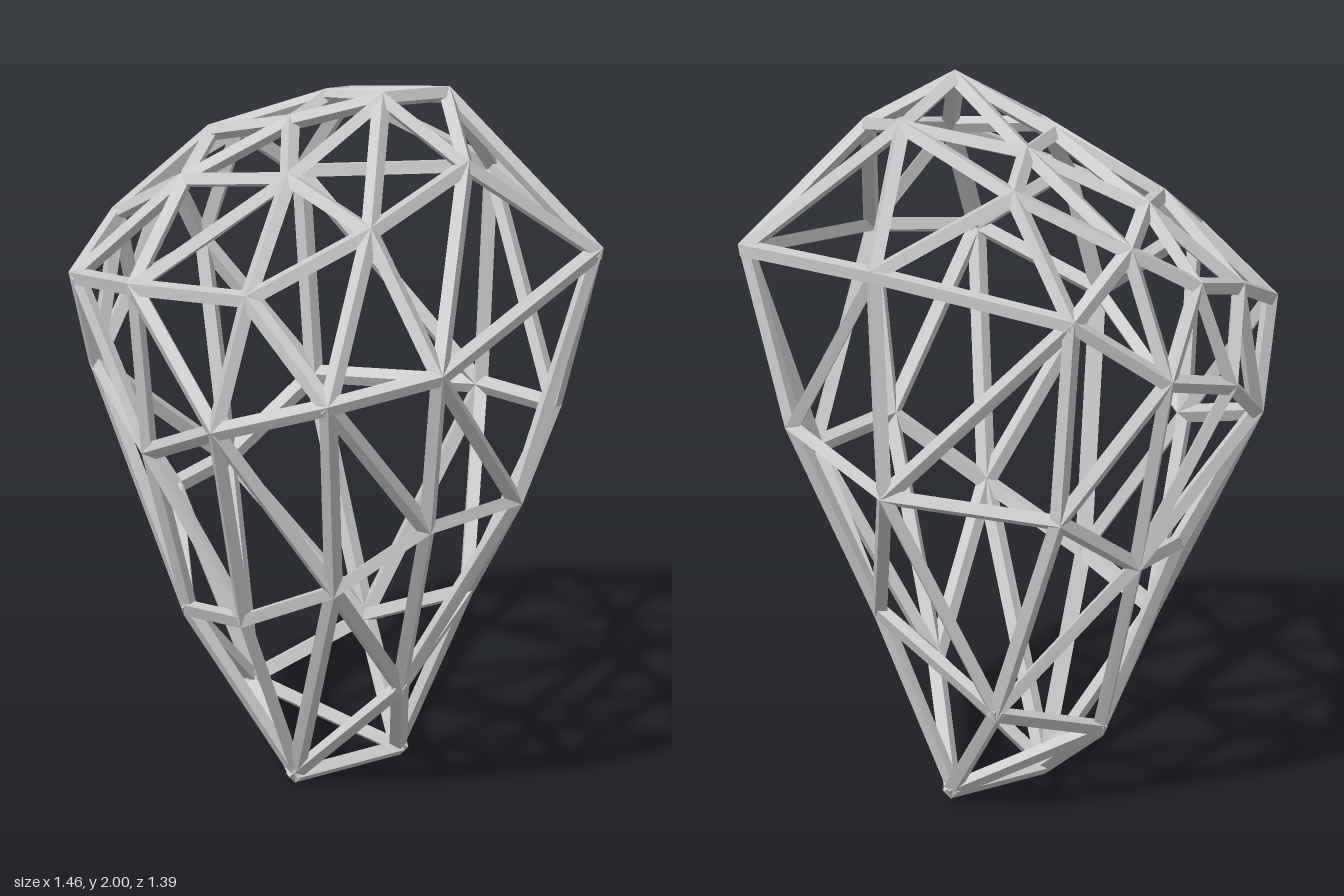
import * as THREE from 'three';

// Hub positions of the triangulated cage, from the crown down
const hubs = {
  17: [0.15, 2, 0], 10: [0.28, 1.94, -0.25], 9: [-0.07, 1.89, -0.3], 16: [-0.13, 1.88, -0.1],
  18: [0.4, 1.84, 0.05], 20: [-0.075, 1.815, 0.18], 22: [0.197, 1.74, 0.365], 6: [-0.05, 1.83, -0.5],
  8: [-0.405, 1.75, -0.33], 15: [-0.425, 1.7, -0.07], 5: [-0.375, 1.69, -0.545], 3: [0.335, 1.62, -0.59],
  4: [-0.56, 1.575, -0.48], 24: [-0.12, 1.57, 0.51], 13: [0.725, 1.54, -0.16], 1: [-0.23, 1.525, -0.695],
  11: [-0.66, 1.51, -0.285], 21: [-0.5, 1.495, 0.27], 14: [-0.73, 1.4, -0.05], 23: [0.43, 1.385, 0.525],
  2: [-0.49, 1.33, -0.605], 26: [0.15, 1.335, 0.695], 7: [-0.65, 1.26, -0.41], 25: [-0.2, 1.195, 0.58],
  31: [-0.7, 1.105, -0.17], 12: [0.59, 1.05, -0.25], 33: [0.305, 0.97, -0.6], 30: [-0.48, 0.975, 0.17],
  32: [-0.19, 0.935, -0.68], 19: [0.555, 0.88, 0.09], 29: [0.365, 0.88, 0.38], 38: [-0.39, 0.745, -0.475],
  42: [-0.49, 0.735, -0.24], 28: [0.1, 0.68, 0.395], 27: [-0.185, 0.53, 0.265], 34: [0.35, 0.5, -0.205],
  39: [-0.4, 0.46, 0], 35: [0, 0.305, -0.485], 36: [0.21, 0.285, 0.03], 37: [-0.27, 0.19, -0.235],
  40: [-0.095, 0, -0.01], 41: [0.14, 0.01, -0.265],
};

// Each hub with the hubs its struts run to
const links = {
  17: [10, 16, 9, 20, 22, 18], 10: [9, 18, 13, 6, 3], 9: [16, 8, 5, 6], 16: [20, 15, 8],
  18: [13, 23, 22], 22: [23, 20, 24, 26], 20: [24, 21, 15], 24: [26, 25, 21],
  23: [26, 13, 19, 29], 26: [25, 28, 29], 25: [21, 30, 27, 28], 21: [15, 14, 30],
  15: [14, 8, 11], 14: [11, 30, 31], 8: [11, 5, 4], 11: [4, 7, 31],
  5: [6, 1, 2, 4], 6: [3, 1], 3: [1, 13, 33, 12], 1: [2, 32, 33],
  4: [2, 7], 2: [7, 32, 38], 7: [31, 38], 32: [38, 35, 33],
  38: [31, 35, 37, 42], 42: [31, 37, 39], 31: [30, 39], 30: [39, 27], 39: [27, 40, 37],
  27: [40, 28], 28: [40, 36, 29], 29: [19, 36], 19: [13, 12, 36, 34],
  36: [40, 41, 34], 34: [41, 12, 33, 35], 35: [41, 33, 37], 12: [13, 33],
  37: [40, 41], 40: [41],
};

const HALF_WIDTH = 0.025;
const DEPTH = 0.045;
const CENTRE = new THREE.Vector3(0, 1.1, -0.04);

// Diamond-section strut whose outer ridge joins two hubs
function strut(a, b) {
  const na = a.clone().sub(CENTRE).normalize();
  const nb = b.clone().sub(CENTRE).normalize();
  const dir = b.clone().sub(a).normalize();
  const side = dir.clone().cross(na.clone().add(nb)).normalize().multiplyScalar(HALF_WIDTH);
  const out = side.clone().cross(dir).normalize();
  const ring = (p, n) => {
    // Inward direction blends the hub's with the strut's own
    const inward = n.clone().add(out).normalize().multiplyScalar(-DEPTH);
    const mid = p.clone().addScaledVector(inward, 0.5);
    return [p, mid.clone().add(side), p.clone().add(inward), mid.clone().sub(side)];
  };
  const ra = ring(a, na);
  const rb = ring(b, nb);
  const pts = [];
  const quad = (p, q, r, s) => pts.push(p, q, r, p, r, s);
  for (let k = 0; k < 4; k++) {
    const j = (k + 1) % 4;
    quad(ra[k], ra[j], rb[j], rb[k]);
  }
  quad(ra[0], ra[3], ra[2], ra[1]);
  quad(rb[0], rb[1], rb[2], rb[3]);
  const geometry = new THREE.BufferGeometry().setFromPoints(pts);
  geometry.computeVertexNormals();
  return geometry;
}

export function createModel() {
  const group = new THREE.Group();
  group.name = 'wireCage';
  const material = new THREE.MeshStandardMaterial({ color: 0xcccccc, flatShading: true });
  const at = (id) => new THREE.Vector3(...hubs[id]);

  for (const [from, targets] of Object.entries(links)) {
    for (const to of targets) {
      const mesh = new THREE.Mesh(strut(at(from), at(to)), material);
      mesh.name = 'strut';
      group.add(mesh);
    }
  }
  return group;
}
